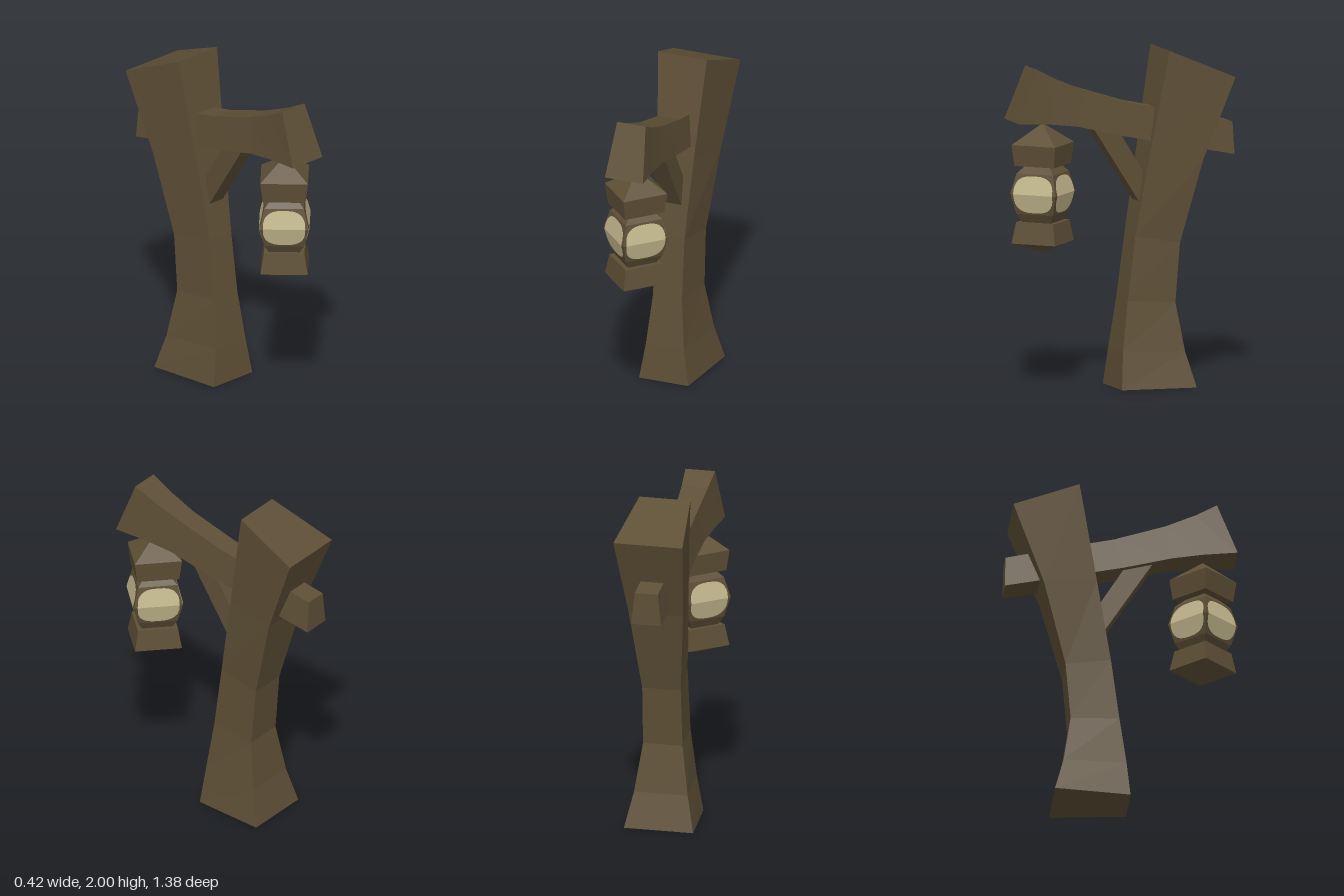
import * as THREE from 'three';

const wood = new THREE.MeshStandardMaterial({ color: 0x5e4f36, flatShading: true });
wood.name = 'weathered wood';
const glass = new THREE.MeshStandardMaterial({ color: 0xc4b88e, flatShading: true, side: THREE.DoubleSide });
glass.name = 'pale glass';

function meshFrom(name, positions, material) {
  const geometry = new THREE.BufferGeometry();
  geometry.setAttribute('position', new THREE.Float32BufferAttribute(positions, 3));
  geometry.computeVertexNormals();
  const mesh = new THREE.Mesh(geometry, material);
  mesh.name = name;
  return mesh;
}

// Timber with trapezoid sections; each row is [halfWidth, y, z] for one edge, then the opposite edge
function timber(name, rows) {
  const rings = rows.map(([a, y1, z1, b, y2, z2]) => [[-a, y1, z1], [a, y1, z1], [b, y2, z2], [-b, y2, z2]]);
  const out = [];
  const quad = (a, b, c, d) => out.push(...a, ...b, ...c, ...a, ...c, ...d);
  for (let i = 0; i < rings.length - 1; i++) {
    for (let j = 0; j < 4; j++) {
      const k = (j + 1) % 4;
      quad(rings[i][j], rings[i][k], rings[i + 1][k], rings[i + 1][j]);
    }
  }
  const [p, q, r, s] = rings[0];
  quad(s, r, q, p);
  quad(...rings[rings.length - 1]);
  return meshFrom(name, out, wood);
}

// Square lantern section with corners on the x and z axes
function lanternPart(name, profile) {
  const points = profile.map(([r, y]) => new THREE.Vector2(r, y));
  const mesh = new THREE.Mesh(new THREE.LatheGeometry(points, 4), wood);
  mesh.name = name;
  return mesh;
}

// Rounded pane that folds along the widest line of the lantern body
function pane(angle) {
  const out = [];
  const steps = 32;
  const round = (v) => Math.sign(v) * Math.pow(Math.abs(v), 0.72);
  const place = (u, v) => {
    const depth = (0.205 - Math.abs(v) / 3) / Math.SQRT2 + 0.004;
    return [u, 1.18 + v, depth];
  };
  const rim = (i) => {
    const t = (i / steps) * Math.PI * 2;
    return place(0.125 * round(Math.cos(t)), 0.11 * round(Math.sin(t)));
  };
  for (let i = 0; i < steps; i++) out.push(...place(0, 0), ...rim(i), ...rim(i + 1));
  const mesh = meshFrom('lanternPane', out, glass);
  mesh.rotation.y = angle;
  return mesh;
}

export function createModel() {
  const model = new THREE.Group();
  model.name = 'lanternPost';

  // Leaning post: front edge, then back edge
  model.add(timber('post', [
    [0.155, 0, 0.05, 0.21, 0, -0.4],
    [0.12, 0.22, 0.03, 0.163, 0.21, -0.345],
    [0.092, 0.52, -0.01, 0.12, 0.5, -0.3],
    [0.088, 0.9, -0.06, 0.117, 0.85, -0.33],
    [0.115, 1.4, -0.145, 0.165, 1.35, -0.46],
    [0.155, 2.0, -0.25, 0.21, 1.83, -0.645],
  ]));

  // Curved beam from the back stub to the flared tip: lower edge, then upper edge
  model.add(timber('beam', [
    [0.09, 1.355, -0.685, 0.07, 1.545, -0.68],
    [0.09, 1.465, -0.15, 0.068, 1.66, -0.18],
    [0.09, 1.5, 0.02, 0.068, 1.69, -0.04],
    [0.092, 1.57, 0.3, 0.07, 1.785, 0.26],
    [0.104, 1.595, 0.48, 0.08, 1.86, 0.44],
    [0.12, 1.61, 0.685, 0.09, 1.925, 0.565],
  ]));

  // Diagonal brace under the beam
  model.add(timber('brace', [
    [0.055, 1.06, -0.122, 0.055, 1.233, -0.15],
    [0.055, 1.56, 0.198, 0.055, 1.54, 0.04],
  ]));

  // Hanging lantern
  const lantern = new THREE.Group();
  lantern.name = 'lantern';
  lantern.position.z = 0.49;
  lantern.add(lanternPart('lanternCap', [[0, 1.345], [0.178, 1.345], [0.198, 1.47], [0, 1.59]]));
  lantern.add(lanternPart('lanternBody', [
    [0, 1.005], [0.125, 1.005], [0.165, 1.06], [0.205, 1.18], [0.165, 1.3], [0.1, 1.35], [0, 1.35],
  ]));
  lantern.add(lanternPart('lanternBase', [[0, 0.825], [0.197, 0.885], [0.168, 1.01], [0, 1.01]]));
  for (let i = 0; i < 4; i++) lantern.add(pane(Math.PI / 4 + (i * Math.PI) / 2));
  model.add(lantern);

  return model;
}
